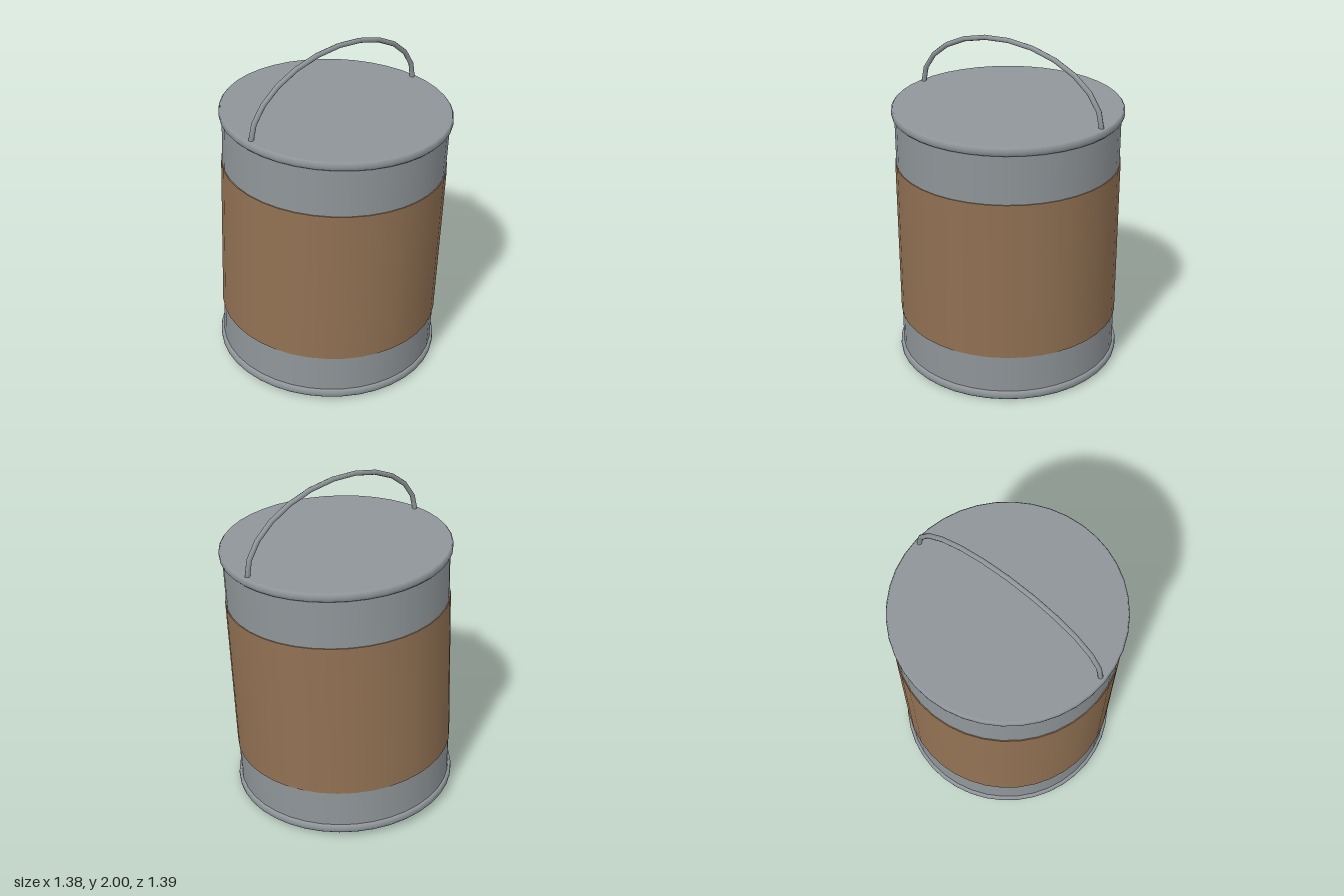
import * as THREE from 'three';

const SIDES = 40;
const HEIGHT = 1.587;
const RIM_RADIUS = 0.674;
const RIM_HEIGHT = 0.05;

// Half-ellipse bail sampled at equal angles
class BailCurve extends THREE.Curve {
  getPoint(t, target = new THREE.Vector3()) {
    const a = Math.PI * (1 - t);
    return target.set(0.643 * Math.cos(a), 0.385 * Math.sin(a), 0);
  }
  getPointAt(t, target) { return this.getPoint(t, target); }
  getTangentAt(t, target) { return this.getTangent(t, target); }
}

export function createModel() {
  const metal = new THREE.MeshStandardMaterial({ color: 0x8f9599 });
  metal.name = 'grey metal';
  const paper = new THREE.MeshStandardMaterial({ color: 0x917153 });
  paper.name = 'brown label';

  const model = new THREE.Group();
  model.name = 'can';

  function add(name, geometry, material, y) {
    const mesh = new THREE.Mesh(geometry, material);
    mesh.name = name;
    mesh.position.y = y;
    model.add(mesh);
    return mesh;
  }
  const tube = (r, h) => new THREE.CylinderGeometry(r, r, h, SIDES, 1, true);

  // Body wall and the label wrapped round it
  add('body', tube(0.656, HEIGHT - 0.02), metal, HEIGHT / 2);
  const label = [0.282, 1.25];
  add('label', tube(0.662, label[1] - label[0]), paper, (label[0] + label[1]) / 2);
  for (const [i, y] of label.entries()) {
    const edge = add(i ? 'labelTopEdge' : 'labelBottomEdge',
      new THREE.RingGeometry(0.65, 0.662, SIDES), paper, y);
    edge.rotation.set(i ? -Math.PI / 2 : Math.PI / 2, 0, 0);
  }

  // Rounded rims closed by flat discs
  const rimProfile = [[0.65, 0], [0.664, 0], [0.672, 0.009], [RIM_RADIUS, 0.025],
    [0.672, 0.041], [0.664, RIM_HEIGHT], [0.65, RIM_HEIGHT]]
    .map(([x, y]) => new THREE.Vector2(x, y));
  for (const top of [false, true]) {
    const side = top ? 'top' : 'bottom';
    add(side + 'Rim', new THREE.LatheGeometry(rimProfile, SIDES), metal,
      top ? HEIGHT - RIM_HEIGHT : 0);
    const disc = add(side + 'Disc', new THREE.CircleGeometry(0.664, SIDES), metal,
      top ? HEIGHT + 0.001 : -0.001);
    disc.rotation.x = top ? -Math.PI / 2 : Math.PI / 2;
  }

  // Wire handle
  add('handle', new THREE.TubeGeometry(new BailCurve(), 12, 0.015, 8), metal, HEIGHT - 0.009);

  // The whole can leans slightly
  model.rotation.set(0.029, 0, -0.022);
  model.position.set(-0.018, 0.023, -0.022);

  const root = new THREE.Group();
  root.name = 'leaningCan';
  root.add(model);
  return root;
}
